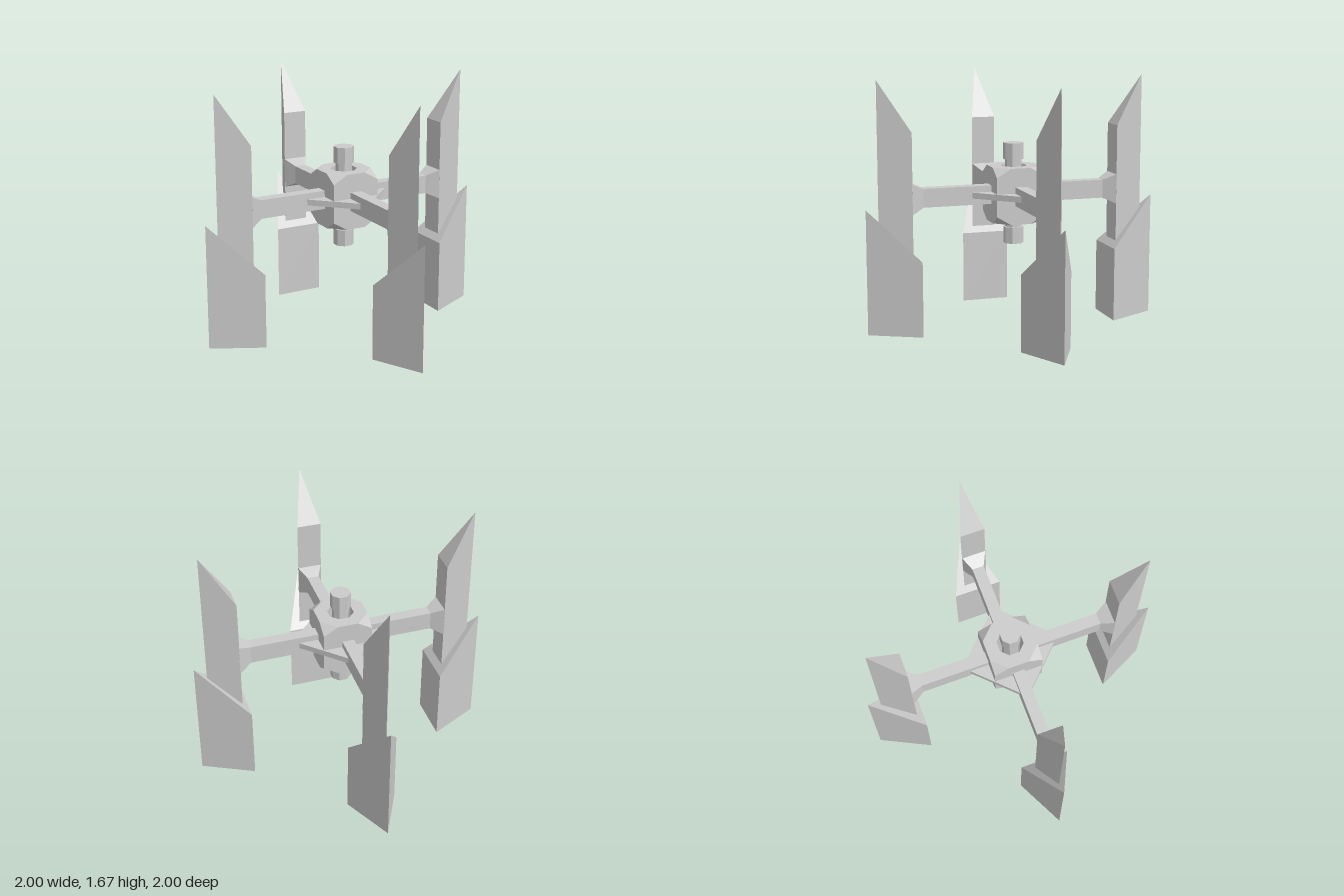
import * as THREE from 'three';

const material = new THREE.MeshStandardMaterial({ color: 0xcccccc, flatShading: true });

function mesh(name, geometry) {
  const m = new THREE.Mesh(geometry, material);
  m.name = name;
  return m;
}

// Closed solid between two rings, each counterclockwise about the lower-to-upper direction
function loft(lower, upper) {
  const positions = [];
  const tri = (a, b, c) => positions.push(...a, ...b, ...c);
  const n = lower.length;
  for (let i = 0; i < n; i++) {
    const j = (i + 1) % n;
    tri(lower[i], lower[j], upper[j]);
    tri(lower[i], upper[j], upper[i]);
  }
  for (let i = 1; i < n - 1; i++) {
    tri(upper[0], upper[i], upper[i + 1]);
    tri(lower[0], lower[i + 1], lower[i]);
  }
  const g = new THREE.BufferGeometry();
  g.setAttribute('position', new THREE.Float32BufferAttribute(positions, 3));
  g.computeVertexNormals();
  return g;
}

// Triangular blade pointing outward along +x, with a slanted top
function blade(inner, outer, halfWidth, bottom, topInner, topOuter) {
  const ring = (yIn, yOut) => [[outer, yOut, 0], [inner, yIn, -halfWidth], [inner, yIn, halfWidth]];
  return loft(ring(bottom, bottom), ring(topInner, topOuter));
}

// Rectangular section across the arm
const MID = 0.898;
const section = (x, h, w) => [[x, MID - h, -w], [x, MID + h, -w], [x, MID + h, w], [x, MID - h, w]];

// Octagon with flats facing the axes
function octagon(apothem) {
  const r = apothem / Math.cos(Math.PI / 8);
  return Array.from({ length: 8 }, (_, i) => {
    const a = (i + 0.5) * Math.PI / 4;
    return new THREE.Vector2(r * Math.cos(a), r * Math.sin(a));
  });
}

export function createModel() {
  const model = new THREE.Group();
  model.name = 'fourBladeFrame';

  // Hub: octagonal sleeve with an open bore
  const A = 0.165, B = A * Math.tan(Math.PI / 8), LOW = 0.71, HIGH = 1.083;
  const shape = new THREE.Shape(octagon(A));
  shape.holes.push(new THREE.Path(octagon(0.082)));
  const hub = new THREE.ExtrudeGeometry(shape, { depth: HIGH - LOW, bevelEnabled: false });
  hub.rotateX(-Math.PI / 2).translate(0, LOW, 0);
  model.add(mesh('hubSleeve', hub));

  // Shaft: narrow core with a wider head at each end
  const profile = [[0, 0.56], [0.068, 0.56], [0.068, 0.67], [0.055, 0.67],
    [0.055, 1.125], [0.068, 1.125], [0.068, 1.235], [0, 1.235]];
  const shaft = new THREE.LatheGeometry(profile.map(p => new THREE.Vector2(...p)), 8, Math.PI / 8);
  model.add(mesh('shaft', shaft));

  // Four identical quarters around the hub
  for (let i = 0; i < 4; i++) {
    const quarter = new THREE.Group();
    quarter.name = 'quarter' + (i + 1);
    quarter.rotation.y = i * Math.PI / 2;

    quarter.add(mesh('lowerBlade', blade(0.667, 1, 0.165, 0, 0.5, 0.833)));
    quarter.add(mesh('upperBlade', blade(0.708, 0.917, 0.083, 0.5, 1.333, 1.667)));
    quarter.add(mesh('arm', loft(section(0.16, 0.062, 0.04), section(0.625, 0.062, 0.04))));
    quarter.add(mesh('armFlare', loft(section(0.625, 0.062, 0.04), section(0.71, 0.102, 0.083))));

    // Corner ridge of the hub with sloping ends
    const ridge = (y, yTip) => [[B, y, A], [A, yTip, A], [A, y, B]];
    quarter.add(mesh('hubCorner', loft(ridge(LOW, LOW + 0.058), ridge(HIGH, HIGH - 0.058))));

    // Thin web between neighbouring arms
    const web = y => [[0.04, y, 0.295], [0.295, y, 0.04], [0.16, y, 0.04], [0.04, y, 0.16]];
    quarter.add(mesh('web', loft(web(0.879), web(0.918))));

    model.add(quarter);
  }
  return model;
}
